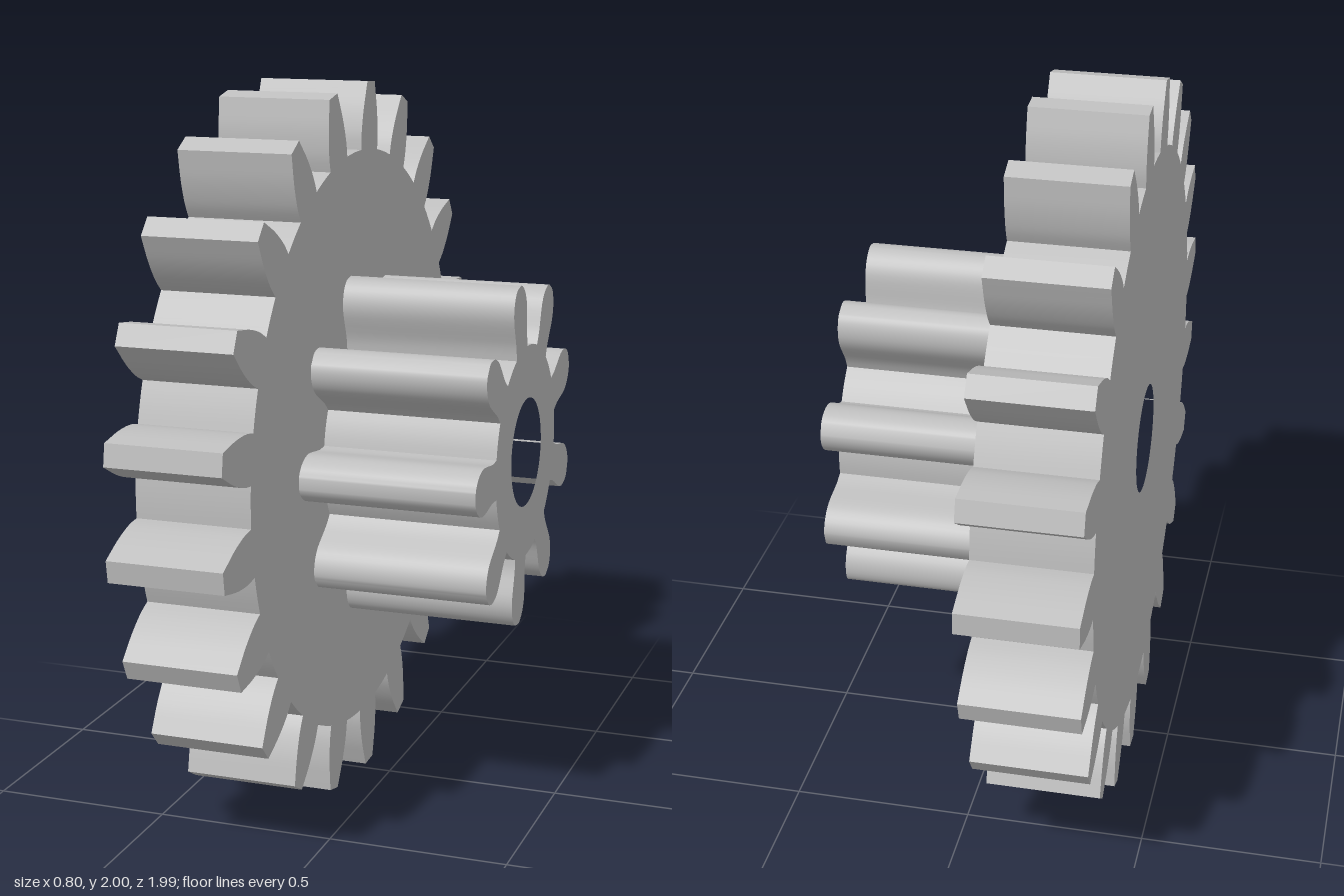
import * as THREE from 'three';
import { toCreasedNormals } from 'three/addons/utils/BufferGeometryUtils.js';

const BORE = 0.152;

// Gear outline: profile lists [radius, half width] of one tooth from root to tip;
// phase is the clockwise angle of the first tooth from straight up.
function gearShape(teeth, phase, profile) {
  const flank = new THREE.SplineCurve(profile.map(([r, w]) => new THREE.Vector2(r, w))).getPoints(14);
  const pitch = (Math.PI * 2) / teeth;
  const rootR = Math.hypot(...profile[0]);
  const rootA = Math.atan2(profile[0][1], profile[0][0]);
  const points = [];
  for (let i = 0; i < teeth; i++) {
    const a = phase + i * pitch;
    const add = (r, w) => points.push(new THREE.Vector2(
      r * Math.sin(a) + w * Math.cos(a), r * Math.cos(a) - w * Math.sin(a)));
    flank.forEach((p) => add(p.x, -p.y));
    [...flank].reverse().forEach((p) => add(p.x, p.y));
    // curved valley up to the next tooth
    for (let k = 1; k < 4; k++) {
      const v = rootA + (pitch - 2 * rootA) * (k / 4);
      add(rootR * Math.cos(v), rootR * Math.sin(v));
    }
  }
  const shape = new THREE.Shape(points);
  shape.holes.push(new THREE.Path().absarc(0, 0, BORE, 0, Math.PI * 2, true));
  return shape;
}

// Extrude a gear along x between x0 and x1
function gear(name, shape, x0, x1, material) {
  const extruded = new THREE.ExtrudeGeometry(shape, { depth: x1 - x0, bevelEnabled: false, curveSegments: 32 });
  extruded.rotateY(Math.PI / 2);
  const mesh = new THREE.Mesh(toCreasedNormals(extruded, 0.45), material);
  mesh.position.set(x0, 1, 0);
  mesh.name = name;
  return mesh;
}

export function createModel() {
  const group = new THREE.Group();
  group.name = 'doubleGear';
  const grey = new THREE.MeshStandardMaterial({ color: 0xbfbfbf });
  grey.name = 'grey';
  const rad = THREE.MathUtils.degToRad;

  // wide wheel with 21 teeth
  const large = gearShape(21, rad(5.2), [
    [0.812, 0.066], [0.85, 0.067], [0.89, 0.062], [0.93, 0.053], [0.97, 0.04], [0.9995, 0.03]]);
  // narrow pinion with 9 rounded teeth
  const small = gearShape(9, rad(268.8), [
    [0.295, 0.055], [0.33, 0.053], [0.37, 0.059], [0.41, 0.064],
    [0.44, 0.059], [0.465, 0.045], [0.48, 0.028], [0.485, 0.015]]);

  group.add(gear('largeGear', large, -0.4, -0.085, grey));
  group.add(gear('smallGear', small, -0.085, 0.4, grey));
  return group;
}
